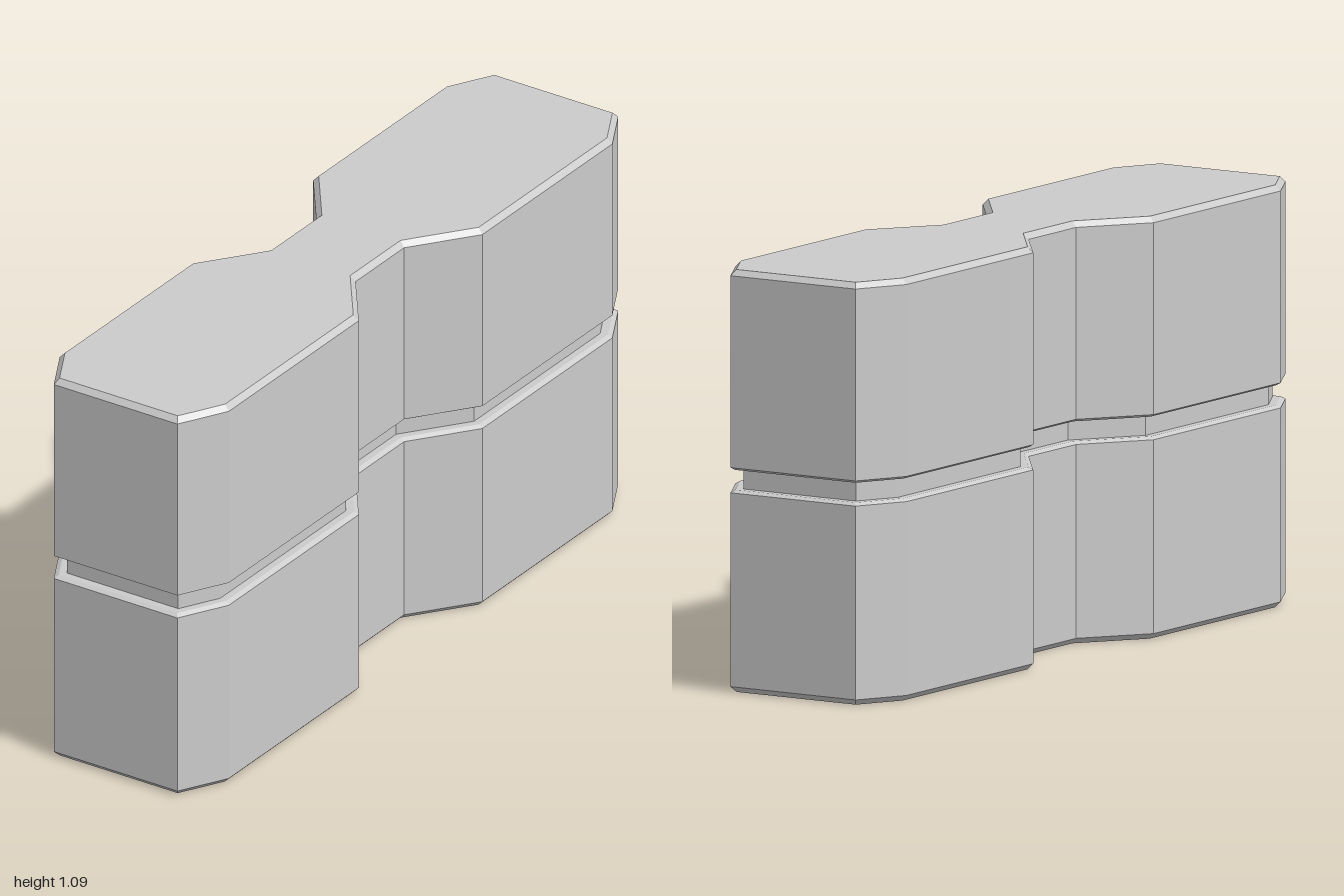
import * as THREE from 'three';

// One quarter of the waisted plan outline (x, z), from waist to end face
const quarter = [[0.135, 0.11], [0.26, 0.28], [0.26, 0.87], [0.19, 1]];
const half = [...quarter, ...quarter.map(([x, z]) => [-x, z]).reverse()];
const outline = [...half, ...half.map(([x, z]) => [-x, -z])]
  .map(([x, z]) => new THREE.Vector2(x, z));

// Outline moved inward by a constant distance, with mitred corners
function inset(d) {
  const n = outline.length;
  return outline.map((p, i) => {
    const a = p.clone().sub(outline[(i + n - 1) % n]).normalize();
    const b = outline[(i + 1) % n].clone().sub(p).normalize();
    const na = new THREE.Vector2(-a.y, a.x);
    const nb = new THREE.Vector2(-b.y, b.x);
    return na.clone().add(nb).multiplyScalar(d / (1 + na.dot(nb))).add(p);
  });
}

// Closed solid through levels of [height, inset]
function loft(name, levels, material) {
  const pos = [];
  const rings = levels.map(([y, d]) => inset(d).map(p => new THREE.Vector3(p.x, y, p.y)));
  const tri = (...v) => v.forEach(p => pos.push(p.x, p.y, p.z));
  for (let k = 0; k < rings.length - 1; k++) {
    const lo = rings[k], hi = rings[k + 1];
    lo.forEach((p, i) => {
      const j = (i + 1) % lo.length;
      tri(p, hi[i], hi[j]);
      tri(p, hi[j], lo[j]);
    });
  }
  // End caps
  const bottom = rings[0], top = rings[rings.length - 1];
  for (const [a, b, c] of THREE.ShapeUtils.triangulateShape(inset(levels[0][1]), [])) {
    tri(bottom[a], bottom[b], bottom[c]);
    tri(top[c], top[b], top[a]);
  }
  const geometry = new THREE.BufferGeometry();
  geometry.setAttribute('position', new THREE.Float32BufferAttribute(pos, 3));
  geometry.computeVertexNormals();
  const mesh = new THREE.Mesh(geometry, material);
  mesh.name = name;
  return mesh;
}

export function createModel() {
  const model = new THREE.Group();
  model.name = 'groovedBlock';
  const material = new THREE.MeshStandardMaterial({ color: 0xcccccc, flatShading: true });

  // Two chamfered halves joined by a recessed core that forms the groove
  model.add(
    loft('lowerBlock', [[0, 0.015], [0.015, 0], [0.515, 0], [0.522, 0.012]], material),
    loft('grooveCore', [[0.5, 0.032], [0.59, 0.032]], material),
    loft('upperBlock', [[0.573, 0.012], [0.58, 0], [1.075, 0], [1.09, 0.014]], material),
  );
  return model;
}
